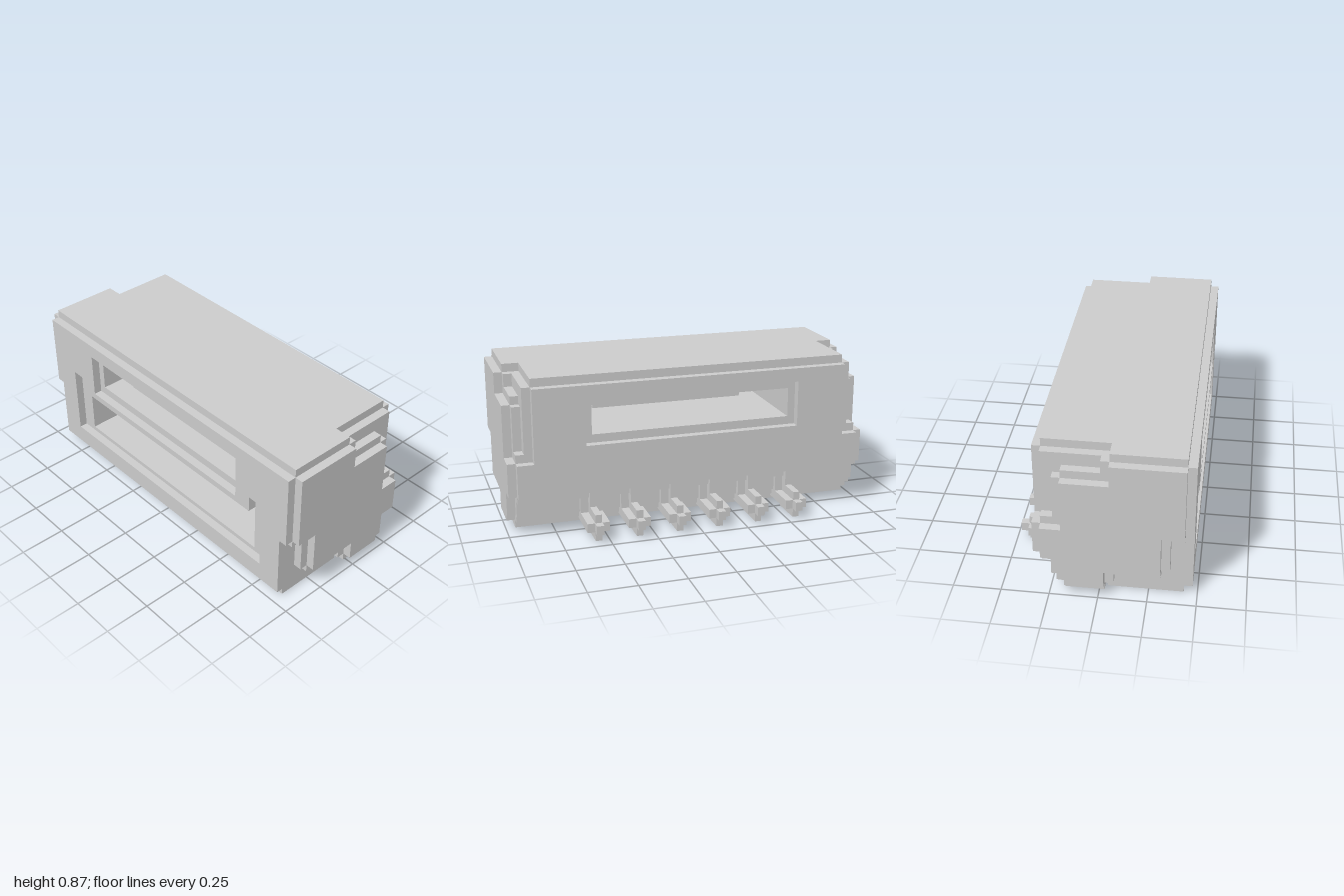
import * as THREE from 'three';

const material = new THREE.MeshStandardMaterial({ color: 0xcccccc, flatShading: true });
const points = (list) => list.map(([a, b]) => new THREE.Vector2(a, b));
const rect = (half, y0, y1) => [[-half, y0], [half, y0], [half, y1], [-half, y1]];

function extrude(outline, depth, holes = []) {
  const shape = new THREE.Shape(points(outline));
  for (const hole of holes) shape.holes.push(new THREE.Path(points(hole)));
  return new THREE.ExtrudeGeometry(shape, { depth, bevelEnabled: false });
}

function add(parent, name, geometry) {
  const mesh = new THREE.Mesh(geometry, material);
  mesh.name = name;
  parent.add(mesh);
  return mesh;
}

function box(parent, name, x0, x1, y0, y1, z0, z1) {
  const mesh = add(parent, name, new THREE.BoxGeometry(x1 - x0, y1 - y0, z1 - z0));
  mesh.position.set((x0 + x1) / 2, (y0 + y1) / 2, (z0 + z1) / 2);
  return mesh;
}

// One slice of the housing between x0 and x1, with openings cut along x
function slice(parent, name, x0, x1, y0, y1, holes) {
  const geometry = extrude(rect(0.865, y0, y1), x1 - x0, holes);
  geometry.rotateY(Math.PI / 2).translate(x0, 0, 0);
  add(parent, name, geometry);
}

// A matching layer on both ends of the housing
function endLayers(parent, name, outline, z0, z1) {
  for (const z of [z0, -z1]) {
    add(parent, name, extrude(outline, z1 - z0).translate(0, 0, z));
  }
}

function makePin(z) {
  const pin = new THREE.Group();
  pin.name = 'pin';
  box(pin, 'wideFoot', 0.2, 0.43, 0.05, 0.1, -0.06, 0.06);
  box(pin, 'wideRiser', 0.2, 0.268, 0.05, 0.192, -0.06, 0.06);
  box(pin, 'footRib', 0.25, 0.43, 0, 0.145, -0.018, 0.018);
  box(pin, 'riserRib', 0.2, 0.312, 0.1, 0.235, -0.018, 0.018);
  box(pin, 'tip', 0.43, 0.475, 0.05, 0.1, -0.02, 0.02);
  box(pin, 'bend', 0.188, 0.245, 0.028, 0.073, -0.018, 0.018).rotation.z = -Math.PI / 4;
  pin.position.z = z;
  return pin;
}

export function createModel() {
  const model = new THREE.Group();
  model.name = 'connector';

  // Housing middle: slices from the mating face to the pin face, stepped underneath
  const housing = new THREE.Group();
  housing.name = 'housing';
  model.add(housing);
  const window = rect(0.55, 0.54, 0.7);
  const windowRim = rect(0.59, 0.495, 0.745);
  const cavity = rect(0.69, 0.18, 0.46);
  const cavityRim = [[-0.775, 0.155], [0.775, 0.155], [0.775, 0.55], [0.69, 0.55],
    [0.69, 0.46], [-0.69, 0.46], [-0.69, 0.55], [-0.775, 0.55]];
  slice(housing, 'matingFace', -0.475, -0.43, 0.05, 0.82, [windowRim, cavityRim]);
  slice(housing, 'hollowCore', -0.43, 0.17, 0.02, 0.865, [window, cavity]);
  slice(housing, 'lowStep', 0.17, 0.217, 0.063, 0.865, [window]);
  slice(housing, 'middleStep', 0.217, 0.243, 0.1, 0.865, [window]);
  slice(housing, 'backWall', 0.243, 0.287, 0.192, 0.865, [window]);
  slice(housing, 'pinFace', 0.287, 0.332, 0.235, 0.82, [windowRim]);

  // Stepped ends with corner notches
  const underside = [[0.17, 0.02], [0.17, 0.063], [0.217, 0.063], [0.217, 0.1], [0.243, 0.1],
    [0.243, 0.192], [0.287, 0.192], [0.287, 0.235], [0.332, 0.235], [0.332, 0.42], [0.287, 0.42]];
  const topLeft = [[-0.06, 0.865], [-0.43, 0.865], [-0.43, 0.82], [-0.475, 0.82]];
  endLayers(housing, 'endInner', [
    [-0.475, 0.05], [-0.03, 0.05], [-0.03, 0.02], ...underside,
    [0.287, 0.82], [-0.06, 0.82], ...topLeft,
  ], 0.865, 0.91);
  endLayers(housing, 'endMiddle', [
    [-0.475, 0.41], [-0.43, 0.41], [-0.43, 0.37], [-0.36, 0.37], [-0.36, 0.17], [-0.315, 0.17],
    [-0.315, 0.125], [-0.075, 0.125], [-0.075, 0.065], [-0.03, 0.065], [-0.03, 0.02], ...underside,
    [0.287, 0.465], [0.225, 0.465], [0.225, 0.705], [0.18, 0.705], [0.18, 0.75],
    [-0.015, 0.75], [-0.015, 0.82], [-0.06, 0.82], ...topLeft,
  ], 0.91, 0.955);
  endLayers(housing, 'endOuter', [
    [-0.43, 0.41], [-0.315, 0.41], [-0.315, 0.17], [-0.03, 0.17], [-0.03, 0.065], [0.17, 0.065],
    [0.17, 0.1], [0.2, 0.1], [0.2, 0.235], [0.287, 0.235], [0.287, 0.42], [0.18, 0.42],
    [0.18, 0.705], [-0.06, 0.705], [-0.06, 0.82], [-0.43, 0.82],
  ], 0.955, 1);

  // Stepped ridge on the window floor
  box(housing, 'ridgeBase', -0.31, -0.18, 0.53, 0.57, -0.44, 0.44);
  box(housing, 'ridgeTop', -0.28, -0.21, 0.56, 0.61, -0.395, 0.395);

  // Solder feet under both ends
  for (const side of [-1, 1]) {
    box(model, 'solderFoot', -0.43, -0.04, 0, 0.05, side * 0.885 - 0.016, side * 0.885 + 0.016);
  }

  // Row of pins
  for (let i = 0; i < 6; i++) model.add(makePin((i - 2.5) * 0.223));
  return model;
}
